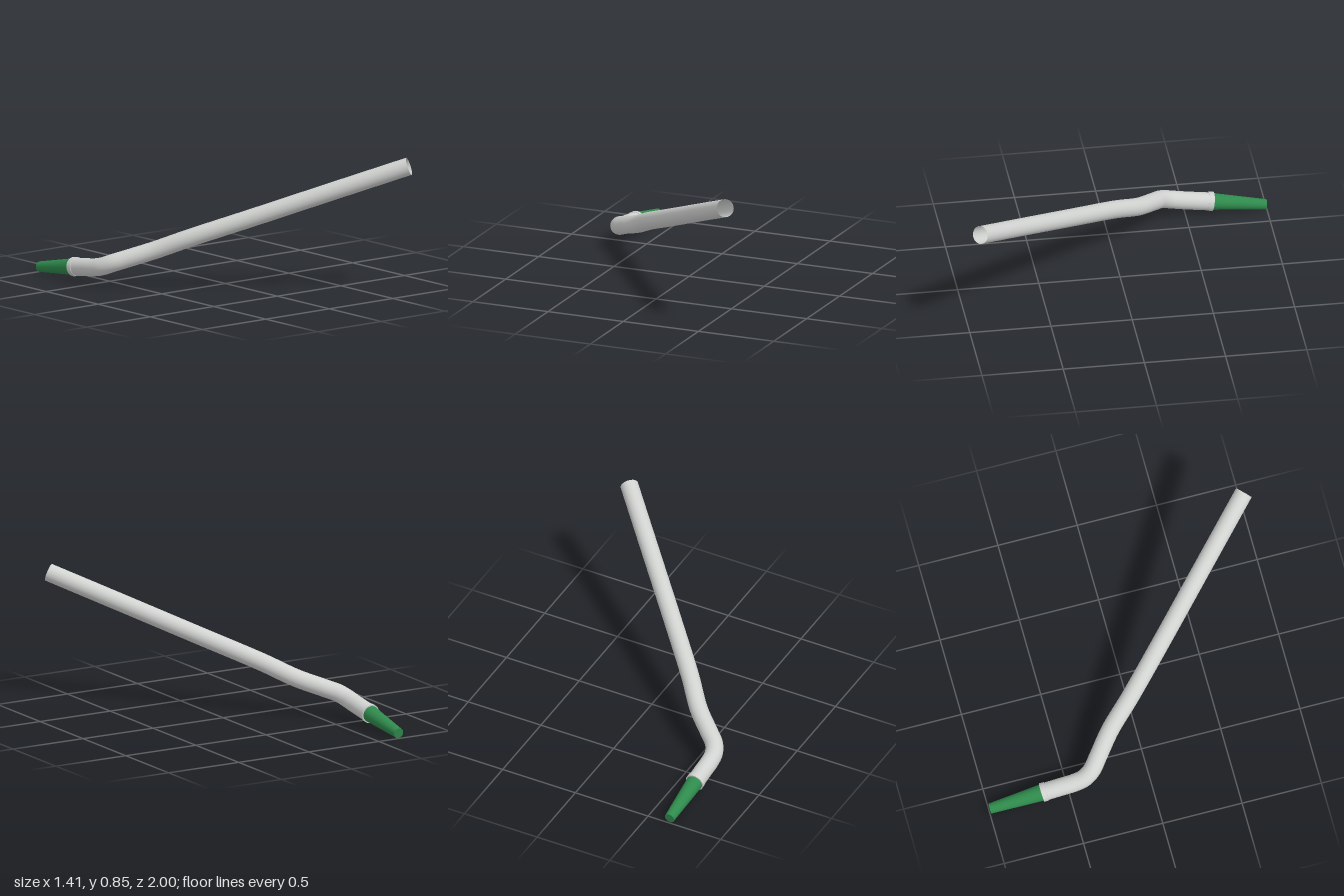
import * as THREE from 'three';

export function createModel() {
  const model = new THREE.Group();
  const grey = new THREE.MeshStandardMaterial({ color: 0xd0d2d0, side: THREE.DoubleSide });
  grey.name = 'pale grey';
  const green = new THREE.MeshStandardMaterial({ color: 0x2f8a4c });
  green.name = 'green';
  const v = (x, y, z) => new THREE.Vector3(x, y, z);

  const add = (name, geometry, material) => {
    const mesh = new THREE.Mesh(geometry, material);
    mesh.name = name;
    model.add(mesh);
    return mesh;
  };

  // Hollow bent pipe, open at the upper front end
  const path = new THREE.CatmullRomCurve3([
    v(-0.645, 0.085, -0.655), v(-0.645, 0.098, -0.56), v(-0.645, 0.113, -0.46),
    v(-0.638, 0.128, -0.40), v(-0.609, 0.152, -0.344), v(-0.54, 0.181, -0.283),
    v(-0.415, 0.234, -0.175), v(-0.27, 0.318, -0.01), v(0, 0.457, 0.275),
    v(0.33, 0.627, 0.617), v(0.66, 0.796, 0.959),
  ], false, 'centripetal');
  add('pipe', new THREE.TubeGeometry(path, 120, 0.055, 40), grey);

  // Parts on the straight rear axis: each runs from a to b
  const up = v(0, 1, 0);
  const alongAxis = (name, a, b, rA, rB, material) => {
    const geometry = new THREE.CylinderGeometry(rB, rA, a.distanceTo(b), 40);
    const mesh = add(name, geometry, material);
    mesh.position.copy(a).add(b).multiplyScalar(0.5);
    mesh.quaternion.setFromUnitVectors(up, b.clone().sub(a).normalize());
  };
  alongAxis('collar', v(-0.645, 0.089, -0.636), v(-0.645, 0.084, -0.668), 0.058, 0.059, grey);
  alongAxis('taperedTip', v(-0.645, 0.086, -0.655), v(-0.645, 0.033, -0.995), 0.052, 0.032, green);

  return model;
}
